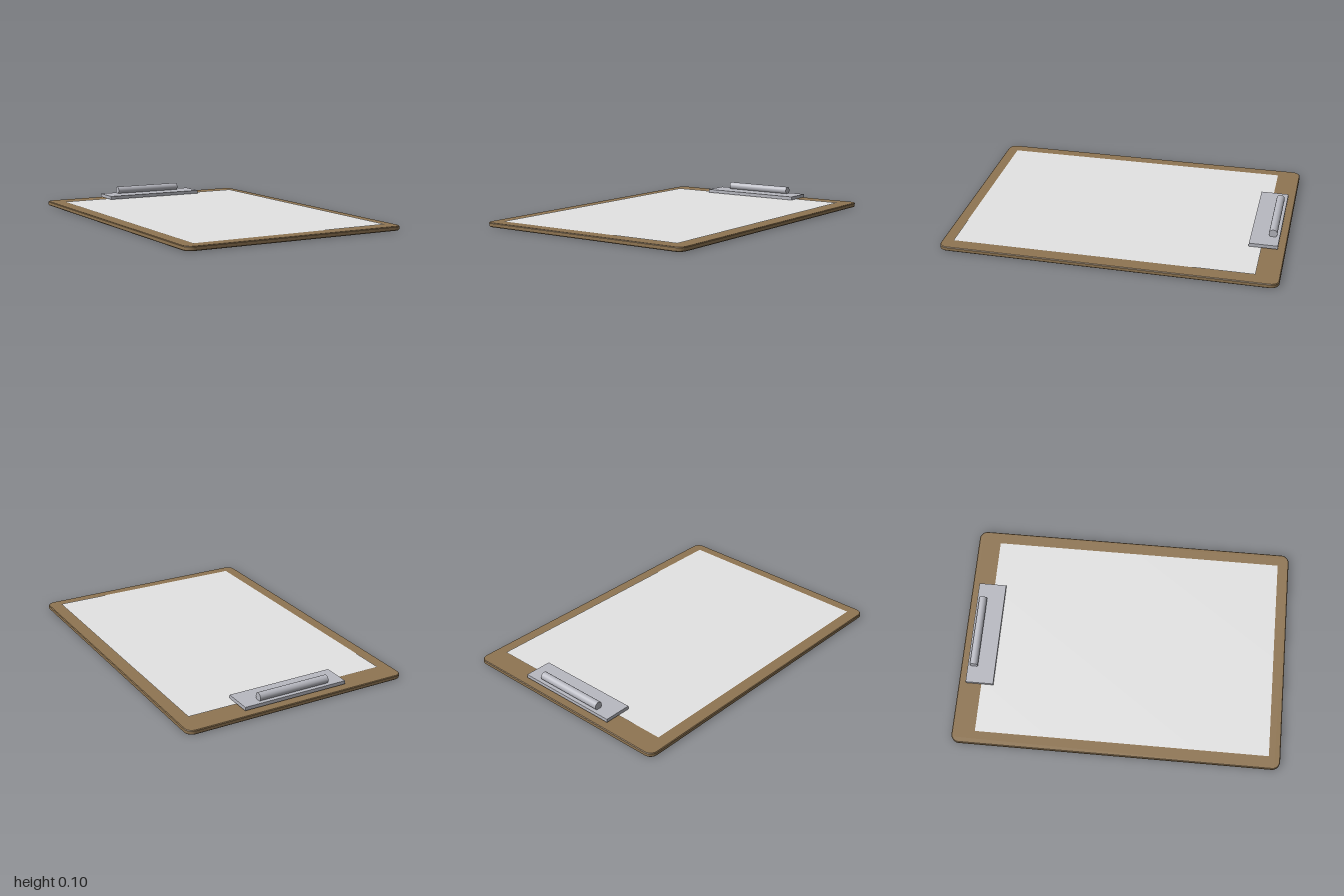
import * as THREE from 'three';

const mat = (name, color, extra = {}) => {
  const m = new THREE.MeshStandardMaterial({ color, ...extra });
  m.name = name;
  return m;
};

export function createModel() {
  const wood = mat('brown hardboard', 0x8f7552);
  const white = mat('paper white', 0xe4e4e4, { side: THREE.DoubleSide });
  const metal = mat('clip metal', 0xb8b9c1);

  const group = new THREE.Group();
  group.name = 'clipboard';
  const add = (name, geometry, material, x = 0, y = 0, z = 0) => {
    const mesh = new THREE.Mesh(geometry, material);
    mesh.name = name;
    mesh.position.set(x, y, z);
    group.add(mesh);
    return mesh;
  };

  // Board: rounded rectangle with a slight bevel all round
  const bevel = 0.004, thickness = 0.026;
  const w = 0.707 - bevel, h = 1 - bevel, r = 0.045;
  const outline = new THREE.Shape();
  outline.moveTo(w - r, -h);
  outline.absarc(w - r, -h + r, r, -Math.PI / 2, 0);
  outline.absarc(w - r, h - r, r, 0, Math.PI / 2);
  outline.absarc(-w + r, h - r, r, Math.PI / 2, Math.PI);
  outline.absarc(-w + r, -h + r, r, Math.PI, Math.PI * 1.5);
  const board = new THREE.ExtrudeGeometry(outline, {
    depth: thickness - 2 * bevel, bevelEnabled: true, bevelSize: bevel,
    bevelThickness: bevel, bevelSegments: 1, curveSegments: 8,
  });
  board.rotateX(-Math.PI / 2);
  add('board', board, wood, 0, bevel, 0);

  // Paper: one thin sheet, lifting slightly toward its left back corner
  const sheet = new THREE.PlaneGeometry(1.26, 1.79, 4, 4);
  sheet.rotateX(-Math.PI / 2);
  const p = sheet.attributes.position;
  for (let i = 0; i < p.count; i++) {
    p.setY(i, 0.0015 * p.getX(i) / 0.63 - 0.001 * p.getZ(i) / 0.895);
  }
  sheet.computeVertexNormals();
  add('paper', sheet, white, 0, 0.0305, 0.035);

  // Clip: foot, pressing plate and round grip bar
  add('clipFoot', new THREE.BoxGeometry(0.41, 0.012, 0.13), metal, 0, 0.03, -0.87);
  add('clipPlate', new THREE.BoxGeometry(0.66, 0.021, 0.17), metal, 0, 0.0445, -0.87);
  const bar = new THREE.CylinderGeometry(0.025, 0.025, 0.45, 24);
  bar.rotateZ(Math.PI / 2);
  add('clipBar', bar, metal, 0, 0.075, -0.915);

  return group;
}
